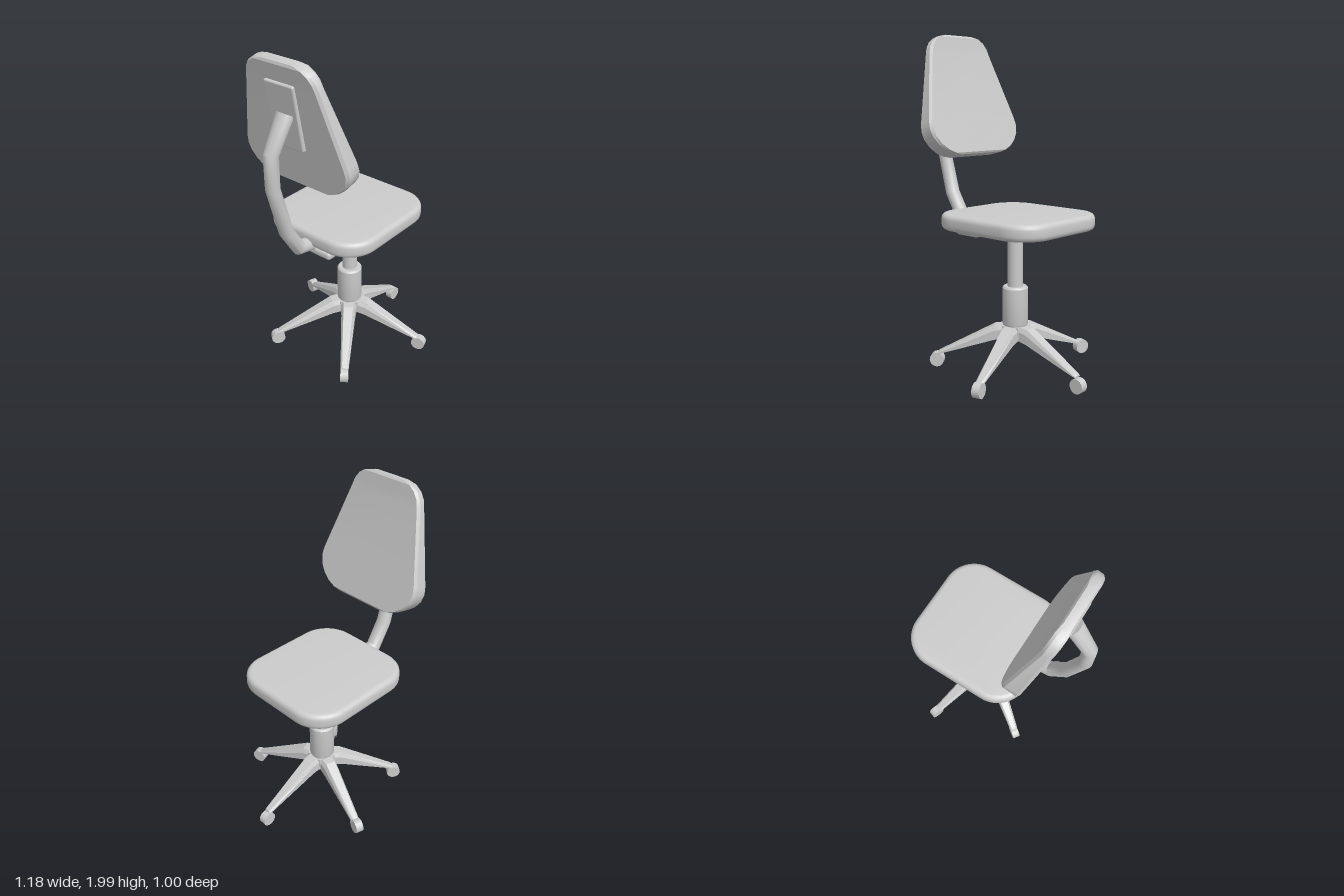
import * as THREE from 'three';
import { toCreasedNormals } from 'three/addons/utils/BufferGeometryUtils.js';
import { RoundedBoxGeometry } from 'three/addons/geometries/RoundedBoxGeometry.js';

const grey = new THREE.MeshStandardMaterial({ color: 0xcccccc });
const COLUMN_X = 0.07; // axis of column and base
const CUSHION_Z = -0.02; // centre line of seat and backrest

function mesh(name, geometry, x = 0, y = 0, z = 0) {
  const m = new THREE.Mesh(geometry, grey);
  m.name = name;
  m.position.set(x, y, z);
  return m;
}

// Capped skin through rings of [x, y, z], each counter-clockwise about the direction of travel
function loft(rings, crease = 0.6) {
  const n = rings[0].length;
  const index = [];
  for (let i = 0; i < rings.length - 1; i++) {
    for (let j = 0; j < n; j++) {
      const k = (j + 1) % n;
      const a = i * n + j, b = i * n + k, c = b + n, d = a + n;
      index.push(a, b, c, a, c, d);
    }
  }
  const last = (rings.length - 1) * n;
  for (let j = 1; j < n - 1; j++) index.push(0, j + 1, j, last, last + j, last + j + 1);
  const g = new THREE.BufferGeometry();
  g.setAttribute('position', new THREE.Float32BufferAttribute(rings.flat(2), 3));
  g.setIndex(index);
  return toCreasedNormals(g, crease);
}

// Linear interpolation in a list of [key, value]
function along(table, v) {
  let i = 1;
  while (i < table.length - 1 && v > table[i][0]) i++;
  const [a, p] = table[i - 1], [b, q] = table[i];
  return p + ((q - p) * (v - a)) / (b - a);
}

// Seat cushion: rounded square with softened rims
function seatGeometry() {
  const bevel = 0.03, w = 0.383 - bevel, d = 0.358 - bevel, r = 0.16;
  const s = new THREE.Shape();
  s.moveTo(-w + r, -d);
  s.lineTo(w - r, -d);
  s.absarc(w - r, -d + r, r, -Math.PI / 2, 0);
  s.absarc(w - r, d - r, r, 0, Math.PI / 2);
  s.absarc(-w + r, d - r, r, Math.PI / 2, Math.PI);
  s.absarc(-w + r, -d + r, r, Math.PI, Math.PI * 1.5);
  const g = new THREE.ExtrudeGeometry(s, {
    depth: 0.095 - 2 * bevel, bevelEnabled: true, bevelSize: bevel,
    bevelThickness: bevel, bevelSegments: 4, curveSegments: 8,
  });
  g.rotateX(-Math.PI / 2);
  return toCreasedNormals(g, 0.7);
}

// Backrest: leaning wedge, wide and thick below, narrow and thin at the top
function backrestGeometry() {
  const rear = [[1.27, -0.335], [1.87, -0.45], [1.985, -0.475]];
  const front = [[1.27, -0.217], [1.87, -0.39], [1.985, -0.412]];
  const outline = [
    [1.27, 0.18], [1.278, 0.22], [1.3, 0.272], [1.335, 0.317], [1.38, 0.35], [1.425, 0.362], [1.47, 0.357],
    [1.87, 0.247], [1.91, 0.234], [1.945, 0.208], [1.97, 0.17], [1.985, 0.12],
  ];
  const rings = outline.map(([v, w], i) => {
    const end = i === 0 || i === outline.length - 1;
    const b = 0.014, inset = end ? 0.008 : 0;
    const r = along(rear, v) + inset, f = along(front, v) - inset;
    return [
      [r + b, w], [f - b, w], [f, w - b], [f, b - w],
      [f - b, -w], [r + b, -w], [r, b - w], [r, w - b],
    ].map(([x, z]) => [x, v + 0.25 * (x - r), z]);
  });
  return loft(rings, 0.5);
}

// Bent support bar: mitred rings along a path of [x, y, half width]
function barGeometry() {
  const path = [
    [-0.22, 0.865, 0.045], [-0.288, 0.873, 0.045], [-0.378, 0.894, 0.045], [-0.468, 1.04, 0.045],
    [-0.55, 1.336, 0.04], [-0.55, 1.526, 0.042], [-0.438, 1.712, 0.055],
  ];
  const radius = 0.04, sides = 14;
  const dir = (a, b) => new THREE.Vector2(b[0] - a[0], b[1] - a[1]).normalize();
  const rings = path.map((p, i) => {
    const before = dir(path[Math.max(i - 1, 0)], path[Math.max(i, 1)]);
    const after = i < path.length - 1 ? dir(p, path[i + 1]) : before;
    const t = before.clone().add(after).normalize();
    const h = radius / t.dot(after);
    return Array.from({ length: sides }, (_, j) => {
      const a = (j / sides) * Math.PI * 2, c = Math.cos(a) * h;
      return [p[0] - t.y * c, p[1] + t.x * c, Math.sin(a) * p[2] - 0.003];
    });
  });
  return loft(rings, 0.65);
}

// Base leg along +x: tapering section with a chamfered top
function legGeometry() {
  // [distance, bottom, shoulder, top, half width, top half width]
  const sections = [
    [0, 0.22, 0.275, 0.297, 0.05, 0.036],
    [0.06, 0.22, 0.275, 0.297, 0.05, 0.036],
    [0.12, 0.207, 0.262, 0.292, 0.044, 0.03],
    [0.455, 0.098, 0.106, 0.117, 0.025, 0.015],
    [0.47, 0.096, 0.1, 0.106, 0.022, 0.012],
  ];
  return loft(sections.map(([x, y0, ym, y1, w, t]) => [
    [x, y1, -t], [x, y1, t], [x, ym, w], [x, y0, w], [x, y0, -w], [x, ym, -w],
  ]), 0.3);
}

export function createModel() {
  const chair = new THREE.Group();
  chair.name = 'swivelChair';

  chair.add(mesh('seat', seatGeometry(), 0.073, 0.9, CUSHION_Z));
  chair.add(mesh('backrest', backrestGeometry(), 0, 0, CUSHION_Z));
  const plate = mesh('backrestPlate', new RoundedBoxGeometry(0.045, 0.375, 0.2, 2, 0.01), -0.412, 1.695, CUSHION_Z);
  plate.rotation.z = 0.175;
  chair.add(plate);
  chair.add(mesh('supportBar', barGeometry()));
  chair.add(mesh('seatBracket', new RoundedBoxGeometry(0.183, 0.05, 0.285, 3, 0.02), -0.197, 0.835, 0.002));

  // Gas column: thin rod in a wider sleeve with chamfered rims
  const rod = new THREE.CylinderGeometry(0.045, 0.045, 0.35, 24);
  chair.add(mesh('columnRod', rod, COLUMN_X, 0.67, 0));
  const sleeve = [[0, 0.29], [0.069, 0.29], [0.076, 0.305], [0.076, 0.52], [0.068, 0.53], [0, 0.53]];
  const sleeveGeometry = new THREE.LatheGeometry(sleeve.map(([r, y]) => new THREE.Vector2(r, y)), 24);
  chair.add(mesh('columnSleeve', toCreasedNormals(sleeveGeometry, 0.5), COLUMN_X, 0, 0));

  // Five-legged base with wheels
  const base = new THREE.Group();
  base.name = 'base';
  base.position.x = COLUMN_X;
  const hub = new THREE.CylinderGeometry(0.09, 0.09, 0.077, 5);
  hub.rotateY(Math.PI / 2 + Math.PI / 5);
  base.add(mesh('hub', toCreasedNormals(hub, 0.3), 0, 0.2585, 0));
  base.add(mesh('hubBolt', new THREE.CylinderGeometry(0.025, 0.025, 0.03, 12), 0, 0.212, 0));
  const leg = legGeometry();
  const wheel = new THREE.CylinderGeometry(0.043, 0.043, 0.046, 20).rotateX(Math.PI / 2);
  const wheelHeights = [0.047, 0.08, 0.058, 0.06, 0.065];
  wheelHeights.forEach((y, i) => {
    const arm = new THREE.Group();
    arm.name = 'leg' + (i + 1);
    arm.rotation.y = (i * Math.PI * 2) / 5;
    arm.add(mesh('legArm', leg), mesh('wheel', wheel, 0.474, y, 0));
    base.add(arm);
  });
  chair.add(base);
  return chair;
}
